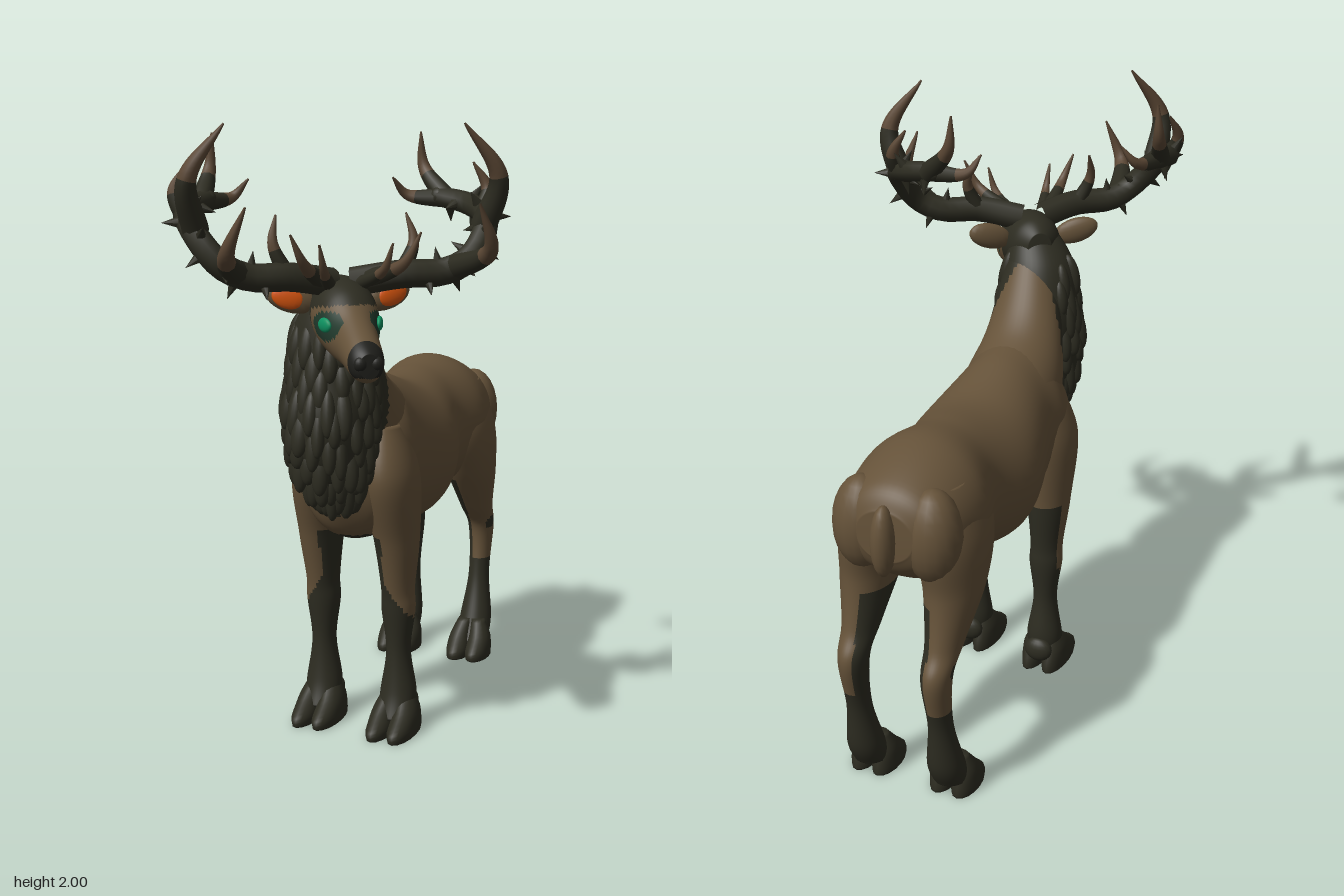
import * as THREE from 'three';

const mat = (name, color) => {
  const m = new THREE.MeshStandardMaterial({ color });
  m.name = name;
  return m;
};
const V = (x, y, z) => new THREE.Vector3(x, y, z);
const CX = -0.045; // body centre line

// small seeded random
let seed = 7;
const rnd = () => ((seed = (seed * 16807) % 2147483647) / 2147483647);

// smooth interpolation of a ring list at u in 0..1
function ringAt(rings, u) {
  const n = rings.length - 1, f = Math.min(u * n, n - 1e-6), i = Math.floor(f), t = f - i;
  const r = k => rings[Math.max(0, Math.min(n, k))];
  return r(i).map((b, c) => {
    const a = r(i - 1)[c], d = r(i + 1)[c], e = r(i + 2)[c];
    return b + 0.5 * t * (d - a + t * (2 * a - 5 * b + 4 * d - e + t * (3 * (b - d) + e - a)));
  });
}
// point on a ring [x, y, z, halfX, halfV]; the V axis is tilted in the YZ plane
const onRing = (r, t, tilt) => V(
  r[0] + r[3] * Math.cos(t),
  r[1] + r[4] * Math.sin(t) * Math.cos(tilt),
  r[2] + r[4] * Math.sin(t) * Math.sin(tilt));

// closed skin through elliptical rings; pick(x, y, z) chooses the material
function loft(name, rings, tilt, mats, pick = () => 0, seg = 40, sub = 9) {
  const n = (rings.length - 1) * sub, pos = [], lists = mats.map(() => []);
  for (let i = 0; i <= n; i++) {
    const r = ringAt(rings, i / n);
    for (let j = 0; j < seg; j++) pos.push(...onRing(r, (j / seg) * Math.PI * 2, tilt).toArray());
  }
  pos.push(...rings[0].slice(0, 3), ...rings[rings.length - 1].slice(0, 3));
  const face = (...ids) => {
    const c = [0, 1, 2].map(k => ids.reduce((s, q) => s + pos[q * 3 + k], 0) / ids.length);
    const l = lists[pick(...c)];
    l.push(ids[0], ids[1], ids[2]);
    if (ids.length > 3) l.push(ids[0], ids[2], ids[3]);
  };
  const end = (n + 1) * seg;
  for (let j = 0; j < seg; j++) {
    const k = (j + 1) % seg;
    for (let i = 0; i < n; i++) face(i * seg + j, i * seg + k, (i + 1) * seg + k, (i + 1) * seg + j);
    face(end, k, j);
    face(end + 1, n * seg + j, n * seg + k);
  }
  const g = new THREE.BufferGeometry();
  g.setAttribute('position', new THREE.Float32BufferAttribute(pos, 3));
  g.setIndex(lists.flat());
  let start = 0;
  lists.forEach((l, i) => { g.addGroup(start, l.length, i); start += l.length; });
  g.computeVertexNormals();
  const m = new THREE.Mesh(g, mats);
  m.name = name;
  return m;
}

function blob(name, material, p, s) {
  const m = new THREE.Mesh(new THREE.SphereGeometry(1, 18, 12), material);
  m.name = name;
  m.position.set(...p);
  m.scale.set(...s);
  return m;
}

// cone from a to b
function spike(name, material, a, b, r) {
  const d = b.clone().sub(a), m = new THREE.Mesh(new THREE.ConeGeometry(r, d.length(), 7), material);
  m.name = name;
  m.position.copy(a).addScaledVector(d, 0.5);
  m.quaternion.setFromUnitVectors(V(0, 1, 0), d.normalize());
  return m;
}

// tapered tube along a curve, second material from the fraction `split` onward
function horn(name, curve, r0, r1, mats, split) {
  const n = 24, k = 9, g = new THREE.TubeGeometry(curve, n, 1, k), p = g.attributes.position;
  for (let i = 0; i <= n; i++) {
    const c = curve.getPointAt(i / n), r = r0 + (r1 - r0) * Math.pow(i / n, 1.5);
    for (let j = 0; j <= k; j++) {
      const q = i * (k + 1) + j, v = V(0, 0, 0).fromBufferAttribute(p, q).sub(c).multiplyScalar(r).add(c);
      p.setXYZ(q, v.x, v.y, v.z);
    }
  }
  const cut = Math.round(n * split) * k * 6;
  g.addGroup(0, cut, 0);
  g.addGroup(cut, n * k * 6 - cut, 1);
  const m = new THREE.Mesh(g, mats);
  m.name = name;
  return m;
}

export function createModel() {
  const brown = mat('brownCoat', 0x655239), dark = mat('darkFur', 0x2d2c21), horny = mat('antlerTip', 0x5c4835);
  const orange = mat('innerEar', 0xd9560f), green = mat('eyeGreen', 0x0e9160), teal = mat('eyePatch', 0x20382b);
  const black = mat('noseBlack', 0x1f1f1b);
  const root = new THREE.Group();
  root.name = 'stag';
  const off = x => Math.abs(x - CX);

  // trunk, rump to chest: z, y, half width, half height
  const trunk = [[-.845, .95, .09, .08], [-.79, .95, .17, .15], [-.6, .93, .215, .235], [-.42, .915, .182, .235],
    [-.22, .885, .225, .252], [0, .925, .185, .272], [.12, .925, .192, .272], [.24, .89, .155, .2], [.31, .86, .05, .07]]
    .map(([z, ...r]) => [CX, r[0], z, r[1], r[2]]);
  root.add(loft('trunk', trunk, 0, [brown, dark], (x, y, z) =>
    (y < .71 && z > -.47 && z < -.38) || (z > 0 && y < .69) || (z > .225 && y > .76 + 1.5 * off(x)) ? 1 : 0, 48));
  root.add(blob('tail', brown, [CX, .94, -.85], [.037, .115, .047]));

  // neck, dark beside the nape with a brown wedge on top
  root.add(loft('neck', [[CX, .95, 0, .17, .235], [CX, 1.06, .13, .16, .17],
    [-.035, 1.19, .24, .13, .118], [.01, 1.45, .42, .08, .09]], -0.7, [brown, dark],
    (x, y, z) => z > .34 - .95 * off(x) && z > .215 ? 1 : 0, 48, 14));

  // mane with overlapping hanging locks: y, z, half width, half depth
  const mane = [[1.5, .41, .07, .07], [1.4, .385, .115, .115], [1.25, .365, .138, .148], [1.1, .38, .14, .162],
    [.96, .37, .115, .14], [.85, .32, .058, .085], [.78, .27, .018, .035]]
    .map(([y, ...r]) => [-.03 + .3 * Math.max(0, y - 1.37), y, ...r]);
  const maneGroup = new THREE.Group();
  maneGroup.name = 'mane';
  maneGroup.add(loft('maneBody', mane, Math.PI / 2, [dark]));
  for (let row = 0; row < 9; row++) for (let i = 0; i < 11; i++) {
    const u = .2 + row * .073 + rnd() * .04, t = -.7 + ((i + (row % 2) / 2 + rnd() * .4) / 11) * 4.5;
    const r = ringAt(mane, u), p = onRing(r, t, Math.PI / 2), out = V(p.x - r[0], 0, p.z - r[2]).normalize();
    const hang = V(0, -1, 0).addScaledVector(out, .22 - .8 * Math.max(0, u - .5)).normalize();
    p.addScaledVector(out, -.012);
    const lock = blob('maneLock', dark, p.toArray(), [.022 + rnd() * .008, .06 + rnd() * .025, .024]);
    lock.quaternion.setFromUnitVectors(V(0, -1, 0), hang);
    maneGroup.add(lock);
  }
  root.add(maneGroup);

  // legs: y, z, half width, half depth
  const fore = [[1.05, .13, .05, .08], [.88, .14, .09, .135], [.66, .115, .072, .095], [.5, .105, .055, .066],
    [.42, .1, .056, .06], [.28, .1, .04, .047], [.14, .1, .06, .062], [.06, .12, .06, .07]];
  const hind = [[1.07, -.62, .06, .12], [.9, -.63, .1, .18], [.74, -.66, .088, .135], [.58, -.735, .058, .082],
    [.48, -.798, .046, .062], [.3, -.775, .038, .045], [.14, -.74, .058, .063], [.06, -.7, .058, .065]];
  for (const s of [1, -1]) {
    const side = s > 0 ? 'left' : 'right', out = x => s * (x - CX);
    const leg = (name, rows, dz, toeZ, len, pick) => {
      const g = new THREE.Group();
      g.name = side + name;
      const rings = rows.map(([y, z, a, b]) => [CX + s * (.14 - .1 * Math.max(0, y - .75)), y, z + dz, a, b]);
      g.add(loft('leg', rings, Math.PI / 2, [brown, dark], pick));
      // cloven hoof
      for (const k of [-1, 1]) {
        const x = CX + s * .14 + k * .037, z = toeZ + dz;
        g.add(loft('toe', [[x - k * .012, .14, z - len * .38, .025, len * .25], [x, .085, z - len * .22, .038, len * .6],
          [x, .035, z, .044, len * .97], [x, .006, z, .042, len]], Math.PI / 2, [dark], () => 0, 16, 4));
      }
      g.add(blob('heel', dark, [CX + s * .14, .09, toeZ + dz - len * .85], [.05, .045, .03]));
      root.add(g);
    };
    leg('ForeLeg', fore, s * .015, .145, .12, (x, y, z) =>
      y < .42 + 1.5 * (.18 - out(x)) && y < .52 || (z < .06 && y < .67) || (out(x) < .115 && y < .68) ? 1 : 0);
    leg('HindLeg', hind, 0, -.655, .088, (x, y, z) =>
      y < .36 || (out(x) < .12 && y < .7) || Math.hypot(y - .5, z + .775) < .027 ? 1 : 0);
    root.add(blob('buttock', brown, [CX + s * .115, .94, -.76], [.09, .15, .09]));
  }

  // head, turned toward its left
  const head = new THREE.Group();
  head.name = 'head';
  head.position.set(.02, 0, .42);
  head.rotation.y = .63;
  root.add(head);
  const skull = [[-.11, 1.46, .04, .05], [-.05, 1.45, .085, .095], [.04, 1.435, .1, .113], [.12, 1.412, .092, .108],
    [.2, 1.373, .066, .083], [.31, 1.33, .053, .058], [.345, 1.323, .03, .036]].map(([z, y, a, b]) => [0, y, z, a, b]);
  head.add(loft('skull', skull, 0, [brown, dark, teal, black], (x, y, z) => {
    if (z > .305 && y > 1.29) return 3;
    if (Math.hypot((y - 1.415) / .044, (z - .14) / .07) < 1 && Math.abs(x) > .035) return 2;
    return z < .03 || y > 1.468 + .15 * (z - .1) ? 1 : 0;
  }, 56, 12));

  // antler paths for the left side
  const beam = [[.03, 1.53, .02], [.17, 1.555, .07], [.3, 1.56, .08], [.38, 1.6, .09],
    [.455, 1.71, .02], [.44, 1.75, -.1], [.37, 1.77, -.19]];
  // tines: start radius, then root, bend and tip
  const tines = {
    rearTine: [.033, [.39, 1.76, -.17], [.345, 1.86, -.275], [.335, 1.97, -.28]],
    innerRearTine: [.03, [.38, 1.765, -.18], [.28, 1.775, -.25], [.23, 1.83, -.24]],
    tallTine: [.041, [.44, 1.69, .04], [.47, 1.84, .09], [.36, 2, .09]],
    outerTine: [.03, [.455, 1.72, -.03], [.485, 1.8, -.06], [.445, 1.88, -.08]],
    frontTine: [.039, [.33, 1.57, .08], [.388, 1.64, .26], [.34, 1.775, .3]],
    browTine: [.028, [.07, 1.54, .05], [.15, 1.6, .18], [.195, 1.69, .2]],
    innerBrowTine: [.022, [.05, 1.53, .06], [.09, 1.58, .17], [.11, 1.66, .2]],
    uprightTine: [.026, [.17, 1.55, .06], [.215, 1.65, .05], [.2, 1.735, .02]],
  };
  for (const s of [1, -1]) {
    const path = pts => new THREE.CatmullRomCurve3(pts.map(([x, y, z]) => V(s * x, y, z)));
    const antler = new THREE.Group();
    antler.name = s > 0 ? 'leftAntler' : 'rightAntler';
    const main = path(beam);
    antler.add(horn('beam', main, .045, .032, [dark, dark], 1));
    for (const [name, [r, ...pts]] of Object.entries(tines))
      antler.add(horn(name, path(pts), r, .003, [dark, horny], .45));
    antler.add(blob('beamEnd', dark, main.getPoint(1).toArray(), [.032, .032, .032]));
    // thorns spiral round the outer beam
    for (let i = 0; i < 14; i++) {
      const u = .3 + i * .05, p = main.getPointAt(u), t = main.getTangentAt(u), a = i * 2.4 - .6;
      const d = V(s * Math.cos(a), Math.sin(a), Math.cos(a) * .6).projectOnPlane(t).normalize();
      antler.add(spike('thorn', dark, p, p.clone().addScaledVector(d, .08), .026));
    }
    head.add(antler);

    // ear with a coloured inner face
    const ear = new THREE.Group();
    ear.name = s > 0 ? 'leftEar' : 'rightEar';
    ear.position.set(s * .15, 1.483, -.015);
    ear.rotation.set(0, s * .15, s * .3);
    ear.add(blob('earBack', brown, [0, 0, 0], [.078, .043, .024]));
    ear.add(blob('earInner', orange, [s * .01, 0, .016], [.05, .033, .012]));
    head.add(ear);

    // eye and nostril
    const eye = blob('eye', green, [s * .083, 1.42, .145], [.011, .022, .034]);
    eye.rotation.y = -s * .3;
    head.add(eye);
    head.add(blob('nostril', black, [s * .024, 1.33, .335], [.02, .022, .016]));
  }
  return root;
}
